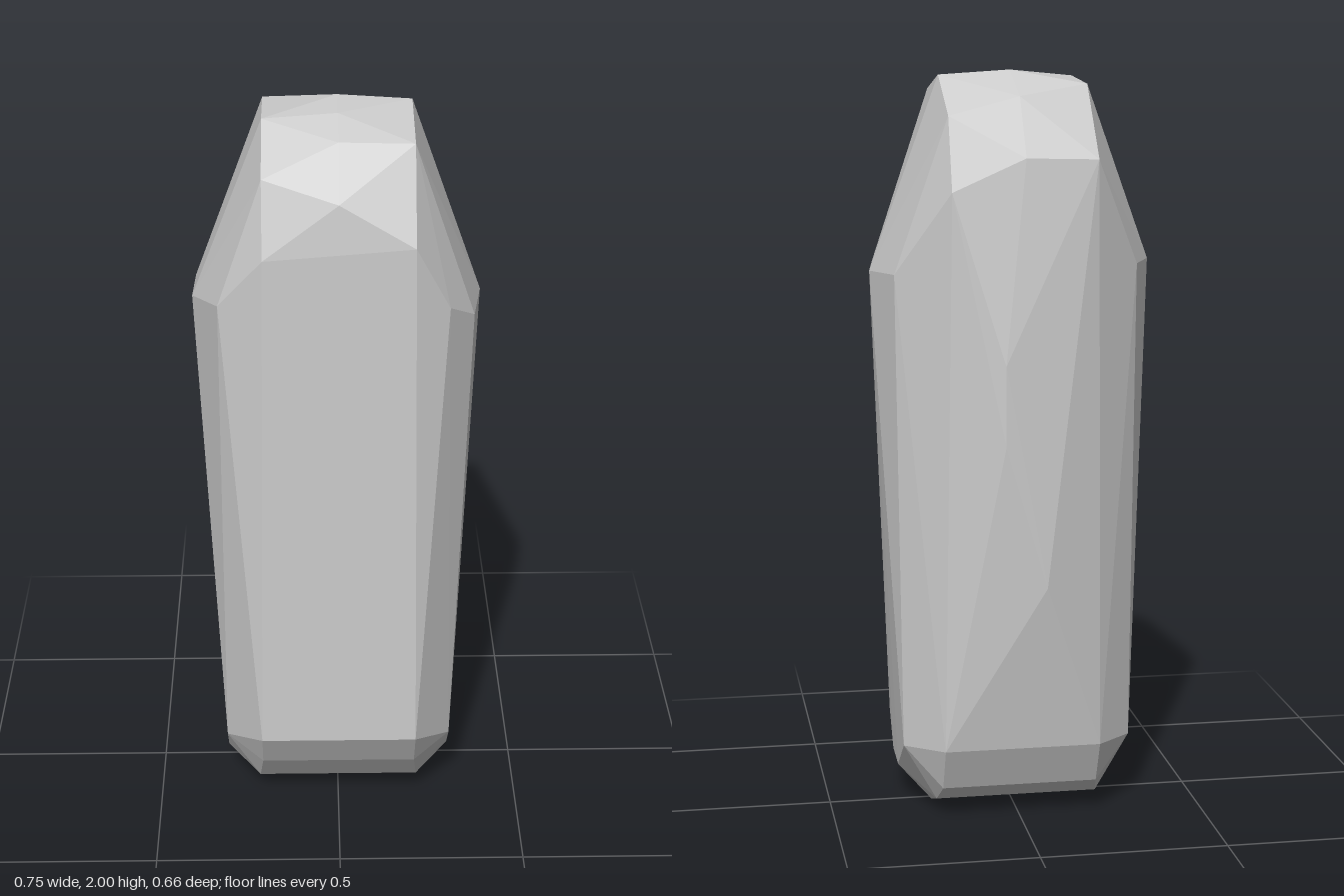
import * as THREE from 'three';
import { ConvexGeometry } from 'three/addons/geometries/ConvexGeometry.js';

// Places a [z, y] profile on the plane x
const arch = (x, profile) => profile.map(([z, y]) => new THREE.Vector3(x, y, z));

export function createModel() {
  const points = [
    // Rounded crown: two side arches and a slightly higher middle one
    ...arch(-0.19, [[0.32, 1.69], [0.26, 1.88], [0.1, 1.98], [-0.11, 1.965], [-0.272, 1.78]]),
    ...arch(0, [[0.305, 1.83], [0.192, 1.95], [0.09, 1.99], [-0.023, 2], [-0.18, 1.937], [-0.28, 1.785]]),
    ...arch(0.19, [[0.32, 1.72], [0.19, 1.945], [-0.022, 1.988], [-0.21, 1.89], [-0.275, 1.7]]),
    // Shoulders, the widest ring
    ...[
      [0.28, 1.54, 0.27], [0.348, 1.48, 0.175], [0.374, 1.475, 0], [0.325, 1.48, -0.15],
      [-0.305, 1.54, 0.25], [-0.375, 1.5, 0.09], [-0.37, 1.5, -0.045], [-0.315, 1.5, -0.165],
      // Bulge of the back
      [0.06, 1.26, -0.328], [0.06, 1.05, -0.33], [-0.05, 0.67, -0.325],
    ].map((p) => new THREE.Vector3(...p)),
  ];
  // Tapered foot, alike on both sides
  for (const s of [-1, 1]) {
    points.push(
      ...arch(s * 0.21, [[0.326, 0.27], [0.265, 0.16], [-0.19, 0.09], [-0.245, 0.21]]),
      ...arch(s * 0.22, [[0.19, 0.06], [0.1, 0.01], [-0.02, 0], [-0.13, 0.04]]),
      ...arch(s * 0.31, [[0.19, 0.2], [0.11, 0.11], [0, 0.1], [-0.14, 0.2]]),
    );
  }

  const stone = new THREE.Mesh(
    new ConvexGeometry(points),
    new THREE.MeshStandardMaterial({ color: 0xcccccc, flatShading: true }),
  );
  stone.name = 'facetedStone';
  const group = new THREE.Group();
  group.name = 'standingStone';
  group.add(stone);
  return group;
}
